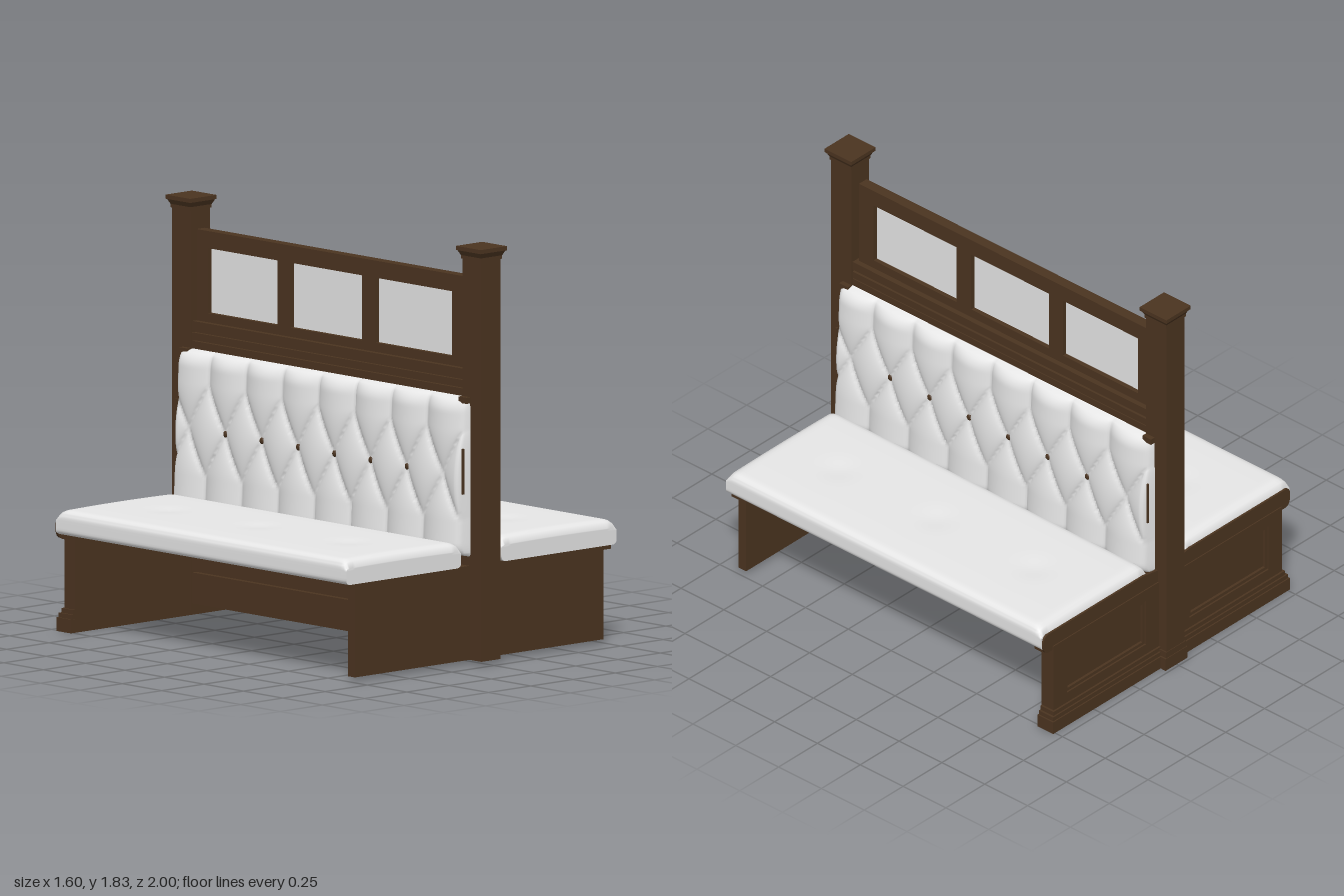
import * as THREE from 'three';
import { mergeVertices, toCreasedNormals } from 'three/addons/utils/BufferGeometryUtils.js';

const wood = new THREE.MeshStandardMaterial({ color: 0x4b3420 });
wood.name = 'dark wood';
const fabric = new THREE.MeshStandardMaterial({ color: 0xeeeeee, side: THREE.DoubleSide });
fabric.name = 'pale upholstery';
const pane = new THREE.MeshStandardMaterial({ color: 0xe6e6e6 });
pane.name = 'pale pane';

function add(parent, name, geometry, material = wood) {
  const mesh = new THREE.Mesh(geometry, material);
  mesh.name = name;
  parent.add(mesh);
  return mesh;
}

// Box given by its extents on each axis
function block(parent, name, [x0, x1], [y0, y1], [z0, z1], material = wood) {
  const mesh = add(parent, name, new THREE.BoxGeometry(x1 - x0, y1 - y0, z1 - z0), material);
  mesh.position.set((x0 + x1) / 2, (y0 + y1) / 2, (z0 + z1) / 2);
  return mesh;
}

// Square tapered block with half widths at bottom and top
function taper(parent, name, bottom, top, y0, y1, z) {
  const geo = new THREE.CylinderGeometry(top * Math.SQRT2, bottom * Math.SQRT2, y1 - y0, 4, 1).toNonIndexed();
  geo.rotateY(Math.PI / 4);
  geo.computeVertexNormals();
  add(parent, name, geo).position.set(0, (y0 + y1) / 2, z);
}

// Rectangular board in the XY plane with rectangular holes [x0, x1, y0, y1]
function frameGeometry(x0, x1, y0, y1, holes, depth) {
  const rect = (P, a, b, c, d) => {
    const p = new P();
    p.moveTo(a, c); p.lineTo(b, c); p.lineTo(b, d); p.lineTo(a, d); p.closePath();
    return p;
  };
  const shape = rect(THREE.Shape, x0, x1, y0, y1);
  for (const [a, b, c, d] of holes) shape.holes.push(rect(THREE.Path, a, b, c, d));
  return new THREE.ExtrudeGeometry(shape, { depth, bevelEnabled: false });
}

const PITCH = 0.23, SHIFT = 0.02;
const roundOff = (d, r) => (d >= r ? 1 : Math.sqrt(Math.max(0, 1 - (1 - d / r) ** 2)));

// Outer x of the tufted back: sloping face with diamond creases and rounded rim
function tuftedX(y, z) {
  const u = (z - SHIFT) / PITCH;
  const v = (THREE.MathUtils.clamp(y, 0.63, 1.03) - 0.83) / 0.4;
  const puff = Math.abs(Math.cos(Math.PI * (u + v)) * Math.cos(Math.PI * (u - v))) ** 0.35;
  const outer = THREE.MathUtils.mapLinear(y, 0.5, 1.15, 0.144, 0.11);
  const rim = roundOff(0.913 - Math.abs(z), 0.03) * roundOff(1.17 - y, 0.07) * roundOff(y - 0.47, 0.06);
  return 0.05 + (outer - 0.05 - 0.034 * (1 - puff)) * rim;
}

function tuftedBackGeometry() {
  const geo = new THREE.PlaneGeometry(1.826, 0.7, 200, 64);
  geo.rotateY(Math.PI / 2);
  geo.translate(0, 0.82, 0);
  const p = geo.attributes.position;
  for (let i = 0; i < p.count; i++) p.setX(i, tuftedX(p.getY(i), p.getZ(i)));
  geo.computeVertexNormals();
  return geo;
}

// Seat pad: soft upper edges, tighter lower edges, rolled ends, crowned and dimpled top
function seatGeometry() {
  const w = 0.34, h = 0.054;
  let geo = new THREE.BoxGeometry(2 * w, 2 * h, 1.84, 36, 10, 100);
  geo.deleteAttribute('normal');
  geo.deleteAttribute('uv');
  geo = mergeVertices(geo, 1e-4);
  const p = geo.attributes.position;
  for (let i = 0; i < p.count; i++) {
    let x = p.getX(i), y = p.getY(i);
    const z = p.getZ(i), r = y > 0 ? 0.036 : 0.02;
    const cx = THREE.MathUtils.clamp(x, -w + r, w - r), cy = THREE.MathUtils.clamp(y, -h + r, h - r);
    const dx = x - cx, dy = y - cy;
    if (dx && dy) {
      const k = Math.max(Math.abs(dx), Math.abs(dy)) / Math.hypot(dx, dy);
      x = cx + dx * k;
      y = cy + dy * k;
    }
    if (y > 0) {
      let drop = 0.035 * (1 - roundOff(0.92 - Math.abs(z), 0.055)) - 0.004 * (1 - (x / w) ** 2);
      for (const dz of [-0.57, 0, 0.57]) drop += 0.007 * Math.exp(-(x * x + (z - dz) ** 2) / 0.006);
      y -= drop * (y / h);
    }
    p.setXY(i, x, y);
  }
  return toCreasedNormals(geo, 0.9);
}

// Wooden board closing one seat end, rounded like the cushion and running to the post
function seatEndGeometry() {
  const s = new THREE.Shape();
  s.moveTo(0.05, 0.42);
  s.lineTo(0.765, 0.412);
  s.quadraticCurveTo(0.792, 0.415, 0.794, 0.46);
  s.quadraticCurveTo(0.794, 0.506, 0.765, 0.506);
  s.lineTo(0.15, 0.506);
  s.lineTo(0.05, 0.49);
  s.closePath();
  return new THREE.ExtrudeGeometry(s, { depth: 0.012, bevelEnabled: false });
}

export function createModel() {
  const model = new THREE.Group();
  model.name = 'doubleBooth';

  // Tall end posts with flared caps
  for (const s of [1, -1]) {
    const post = new THREE.Group();
    post.name = s > 0 ? 'frontPost' : 'backPost';
    model.add(post);
    const z = s * 0.92;
    block(post, 'postShaft', [-0.057, 0.057], [0.02, 1.79], [z - 0.06, z + 0.06]);
    taper(post, 'capCollar', 0.063, 0.063, 1.775, 1.79, z);
    taper(post, 'capFlare', 0.063, 0.074, 1.79, 1.812, z);
    taper(post, 'capSlab', 0.078, 0.078, 1.812, 1.83, z);
  }

  // Central spine: slatted base, back board and moulded rail
  const spine = new THREE.Group();
  spine.name = 'spine';
  model.add(spine);
  for (const [y0, y1] of [[0.05, 0.187], [0.193, 0.332], [0.338, 0.48]]) {
    block(spine, 'baseBoard', [-0.05, 0.05], [y0, y1], [-0.86, 0.86]);
  }
  block(spine, 'backBoard', [-0.05, 0.05], [0.48, 1.203], [-0.86, 0.86]);
  block(spine, 'railBead', [-0.05, 0.05], [1.207, 1.24], [-0.86, 0.86]);
  block(spine, 'railCore', [-0.035, 0.035], [1.24, 1.25], [-0.86, 0.86]);
  block(spine, 'railTop', [-0.05, 0.05], [1.25, 1.29], [-0.86, 0.86]);
  for (const s of [1, -1]) {
    block(spine, 'railEndBracket', [-0.08, 0.08], [1.145, 1.172], [s * 0.885 - 0.025, s * 0.885 + 0.025]);
  }

  // Upper screen with three panes; shape x runs along -z
  const openings = [[-0.76, -0.275], [-0.19, 0.265], [0.345, 0.785]];
  const screen = frameGeometry(-0.845, 0.86, 1.285, 1.69, openings.map(([a, b]) => [a, b, 1.33, 1.615]), 0.05);
  screen.translate(0, 0, -0.025);
  screen.rotateY(Math.PI / 2);
  add(model, 'screenFrame', screen);
  for (const [a, b] of openings) {
    block(model, 'screenPane', [-0.004, 0.004], [1.33, 1.615], [-b, -a], pane);
  }

  // Plain front end panel
  block(model, 'frontEndPanel', [-0.735, 0.735], [0.02, 0.432], [0.86, 0.905]);

  // Back end panel: slab, raised frames and stepped plinth
  block(model, 'backEndPanel', [-0.735, 0.735], [0, 0.432], [-0.915, -0.865]);
  for (const s of [1, -1]) {
    const [x0, x1] = s > 0 ? [0.055, 0.735] : [-0.735, -0.055];
    const cx = (x0 + x1) / 2;
    const face = frameGeometry(x0, x1, 0.05, 0.432, [[cx - 0.255, cx + 0.255, 0.15, 0.375]], 0.02);
    add(model, 'panelFrame', face).position.z = -0.935;
    const bead = frameGeometry(cx - 0.255, cx + 0.255, 0.15, 0.375,
      [[cx - 0.24, cx + 0.24, 0.165, 0.36]], 0.012);
    add(model, 'panelBead', bead).position.z = -0.927;
  }
  block(model, 'plinth', [-0.762, 0.762], [0, 0.06], [-0.957, -0.865]);
  block(model, 'plinthStep', [-0.755, 0.755], [0.06, 0.08], [-0.951, -0.867]);
  block(model, 'plinthTop', [-0.745, 0.745], [0.08, 0.1], [-0.944, -0.867]);
  block(model, 'postFoot', [-0.07, 0.07], [0, 0.06], [-0.986, -0.88]);
  block(model, 'postFootStep', [-0.063, 0.063], [0.06, 0.09], [-0.983, -0.88]);

  // Upholstery: same half built twice, turned about the spine
  const seatGeo = seatGeometry(), backGeo = tuftedBackGeometry(), endGeo = seatEndGeometry();
  const buttonGeo = new THREE.SphereGeometry(0.015, 16, 10);
  buttonGeo.scale(0.6, 1, 1);
  for (const side of [1, -1]) {
    const half = new THREE.Group();
    half.name = side > 0 ? 'leftUpholstery' : 'rightUpholstery';
    half.rotation.y = side > 0 ? 0 : Math.PI;
    model.add(half);
    add(half, 'seatCushion', seatGeo, fabric).position.set(0.46, 0.486, 0);
    add(half, 'tuftedBack', backGeo, fabric);
    for (let k = -3; k < 3; k++) {
      const z = SHIFT + PITCH * (k + 0.5);
      add(half, 'button', buttonGeo).position.set(tuftedX(0.83, z) + 0.004, 0.83, z);
    }
    // Wooden cover over the seat end at the panelled side
    add(half, 'seatEndCover', endGeo).position.z = side > 0 ? -0.93 : 0.918;
    for (const s of [1, -1]) {
      // Narrow wood strip showing through the seam at each end of the back
      block(half, 'seamStrip', [0.094, 0.104], [0.75, 0.95], [s * 0.908 - 0.004, s * 0.908 + 0.004]);
      // Small lip where the end panel meets the seat
      block(half, 'seatLip', [0.73, 0.78], [0.412, 0.436], [s * 0.885 - 0.02, s * 0.885 + 0.02]);
    }
  }
  return model;
}
